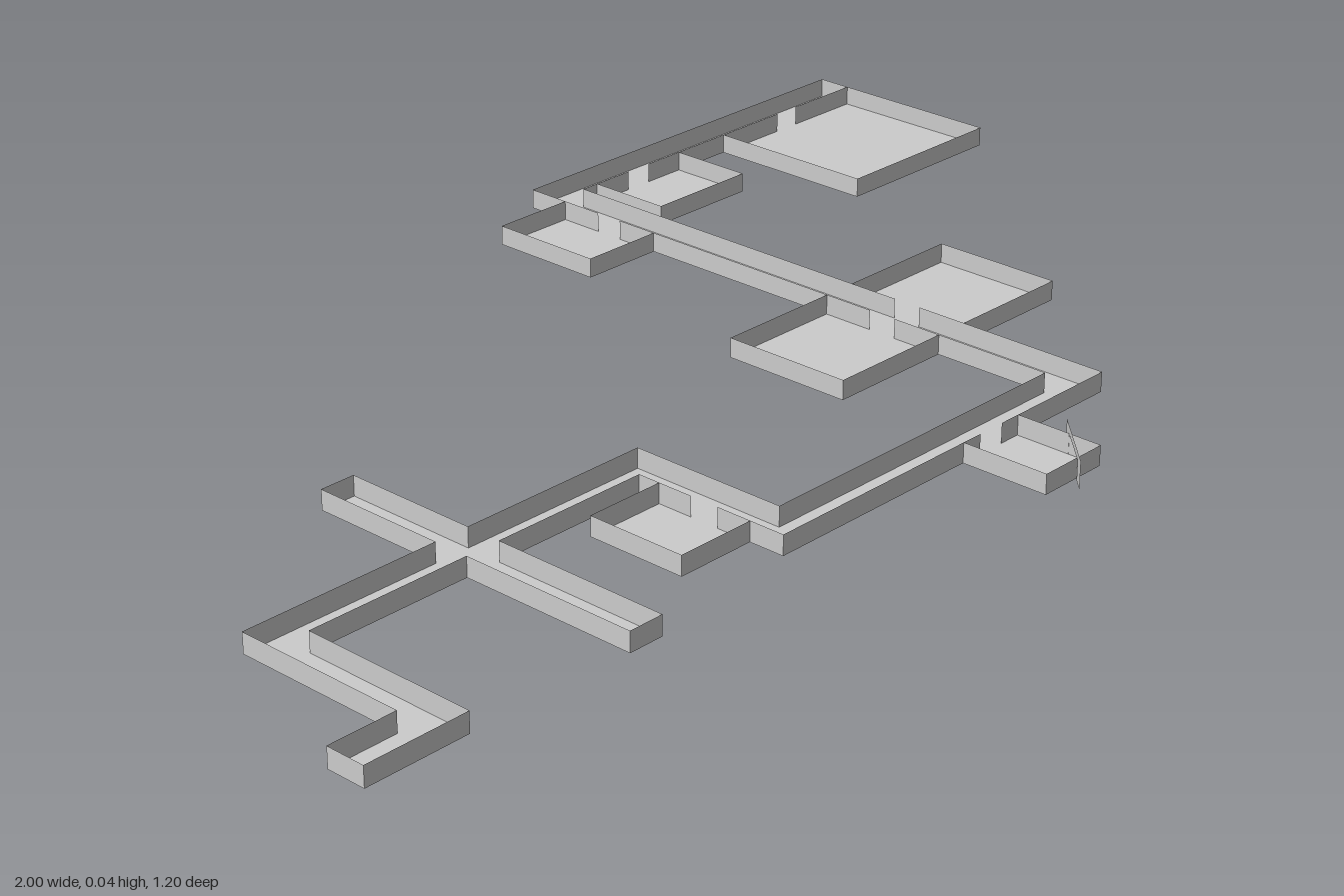
import * as THREE from 'three';

const H = 0.03; // wall height
const DOOR = 0.045; // doorway width
const material = new THREE.MeshStandardMaterial({ color: 0xcccccc, side: THREE.DoubleSide, flatShading: true });

function add(group, name, geometry) {
  const mesh = new THREE.Mesh(geometry, material);
  mesh.name = name;
  group.add(mesh);
  return mesh;
}

// Flat floor from an outline of [x, z] points
function floor(group, points) {
  const shape = new THREE.Shape(points.map(([x, z]) => new THREE.Vector2(x, -z)));
  add(group, 'floor', new THREE.ShapeGeometry(shape).rotateX(-Math.PI / 2));
}

// Thin upright wall between two [x, z] points
function wall(group, [x0, z0], [x1, z1]) {
  const length = Math.hypot(x1 - x0, z1 - z0);
  const mesh = add(group, 'wall', new THREE.PlaneGeometry(length, H));
  mesh.position.set((x0 + x1) / 2, H / 2, (z0 + z1) / 2);
  mesh.rotation.y = Math.atan2(z0 - z1, x1 - x0);
}

// Wall run interrupted by every doorway lying on it
function wallWithDoors(group, a, b, doors) {
  const length = Math.hypot(b[0] - a[0], b[1] - a[1]);
  const d = [(b[0] - a[0]) / length, (b[1] - a[1]) / length];
  const at = (t) => [a[0] + d[0] * t, a[1] + d[1] * t];
  const stops = doors
    .filter(([x, z]) => Math.abs((x - a[0]) * d[1] - (z - a[1]) * d[0]) < 0.001)
    .map(([x, z]) => (x - a[0]) * d[0] + (z - a[1]) * d[1])
    .filter((t) => t > 0 && t < length)
    .sort((p, q) => p - q);
  let start = 0;
  for (const t of stops) {
    wall(group, at(start), at(t - DOOR / 2));
    start = t + DOOR / 2;
  }
  wall(group, at(start), b);
}

export function createModel() {
  const model = new THREE.Group();
  model.name = 'floorPlan';

  // Rooms: bounds, and the side that opens onto the corridor
  const rooms = [
    ['largeRoom', 0.695, 1, -0.545, -0.265, 'back'],
    ['smallBackRoom', 0.405, 0.59, -0.545, -0.41, 'back'],
    ['backSideRoom', 0.185, 0.32, -0.53, -0.345, 'left'],
    ['middleRightRoom', 0.115, 0.32, -0.005, 0.2, 'left'],
    ['middleLeftRoom', 0.375, 0.58, -0.005, 0.2, 'right'],
    ['cornerRoom', -0.405, -0.28, 0.23, 0.385, 'left'],
    ['frontRoom', 0.075, 0.19, 0.44, 0.575, 'back'],
  ];
  const doors = [];
  for (const [name, x0, x1, z0, z1, open] of rooms) {
    const room = new THREE.Group();
    room.name = name;
    model.add(room);
    const corners = [[x0, z0], [x1, z0], [x1, z1], [x0, z1]];
    floor(room, corners);
    ['back', 'left', 'front', 'right'].forEach((side, i) => {
      const a = corners[i], b = corners[(i + 1) % 4];
      if (side === open) doors.push([(a[0] + b[0]) / 2, (a[1] + b[1]) / 2]);
      else wall(room, a, b);
    });
  }

  // Winding corridor with a crossing branch
  const outline = [
    [-1, 0.405], [-0.895, 0.405], [-0.895, 0.14], [-0.585, 0.14], [-0.585, -0.07], [-0.53, -0.07],
    [-0.53, 0.14], [-0.225, 0.14], [-0.225, 0.385], [0.32, 0.385], [0.32, -0.6], [1, -0.6],
    [1, -0.545], [0.375, -0.545], [0.375, 0.44], [-0.28, 0.44], [-0.28, 0.195], [-0.53, 0.195],
    [-0.53, 0.47], [-0.585, 0.47], [-0.585, 0.195], [-0.84, 0.195], [-0.84, 0.465], [-1, 0.465],
  ];
  const corridor = new THREE.Group();
  corridor.name = 'corridor';
  model.add(corridor);
  floor(corridor, outline);
  outline.forEach((p, i) => wallWithDoors(corridor, p, outline[(i + 1) % outline.length], doors));

  // Diagonal door frame standing in the front room
  const w = 0.064, o = 0.038;
  const arch = new THREE.Shape([
    [-w, 0], [-o, 0], [-o, 0.029], [o, 0.029], [o, 0], [w, 0], [w, 0.04], [-w, 0.04],
  ].map(([x, y]) => new THREE.Vector2(x, y)));
  const frame = add(model, 'doorFrame', new THREE.ShapeGeometry(arch));
  frame.position.set(0.162, 0, 0.552);
  frame.rotation.y = Math.PI / 4;

  return model;
}
